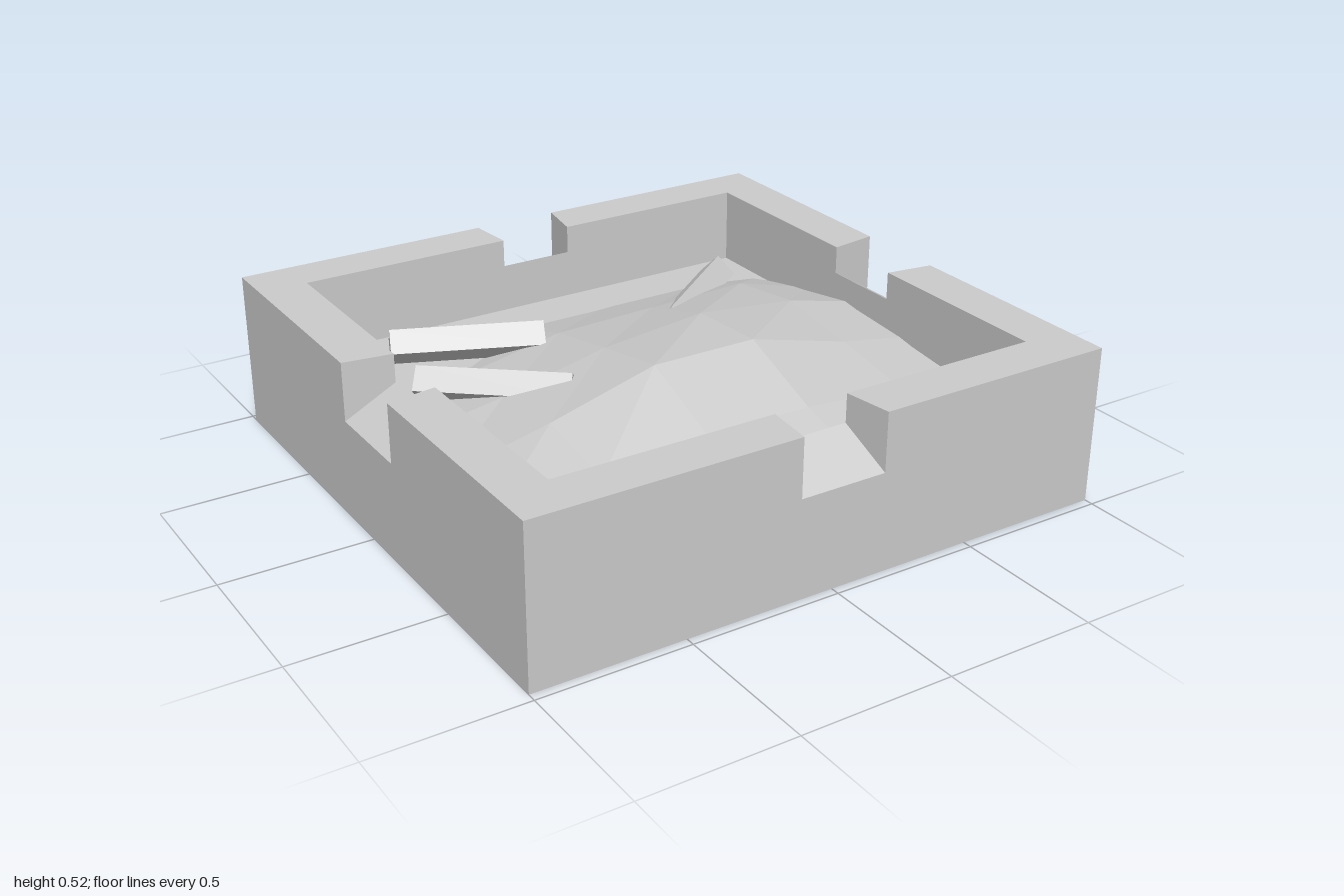
import * as THREE from 'three';

const material = new THREE.MeshStandardMaterial({ color: 0xcccccc, flatShading: true });

// Overall sizes
const OUT = { x: 1, z: 0.97 }, INN = { x: 0.837, z: 0.81 };
const TOP = 0.525, FLOOR = 0.265, SILL_OUT = 0.33, SILL_IN = 0.43;

function makeMesh(geometry, name) {
  const mesh = new THREE.Mesh(geometry, material);
  mesh.name = name;
  return mesh;
}

// Flat-faced geometry from a list of four-cornered faces (counter-clockwise)
function quadsGeometry(quads) {
  const points = quads.flatMap(([a, b, c, d]) => [a, b, c, a, c, d]);
  const geometry = new THREE.BufferGeometry().setFromPoints(points);
  geometry.computeVertexNormals();
  return geometry;
}

// One wall of the tray with its tapered, sloping notch.
// t runs along the wall, n points outward; notch spans are measured along t.
function wallQuads(t, n, [a, b], [ai, bi]) {
  const along = t.x !== 0;
  const lo = along ? OUT.x : OUT.z, li = along ? INN.x : INN.z;
  const no = along ? OUT.z : OUT.x, ni = along ? INN.z : INN.x;
  const point = (u, depth, y) =>
    new THREE.Vector3(0, y, 0).addScaledVector(t, u).addScaledVector(n, depth);
  const o = (u, y) => point(u, no, y);
  const i = (u, y) => point(u, ni, y);
  return [
    // outer face
    [o(-lo, 0), o(a, 0), o(a, TOP), o(-lo, TOP)],
    [o(a, 0), o(b, 0), o(b, SILL_OUT), o(a, SILL_OUT)],
    [o(b, 0), o(lo, 0), o(lo, TOP), o(b, TOP)],
    // inner face
    [i(-li, TOP), i(ai, TOP), i(ai, FLOOR), i(-li, FLOOR)],
    [i(ai, SILL_IN), i(bi, SILL_IN), i(bi, FLOOR), i(ai, FLOOR)],
    [i(bi, TOP), i(li, TOP), i(li, FLOOR), i(bi, FLOOR)],
    // rim
    [o(-lo, TOP), o(a, TOP), i(ai, TOP), i(-li, TOP)],
    [o(b, TOP), o(lo, TOP), i(li, TOP), i(bi, TOP)],
    // notch sill and cheeks
    [o(a, SILL_OUT), o(b, SILL_OUT), i(bi, SILL_IN), i(ai, SILL_IN)],
    [o(a, SILL_OUT), i(ai, SILL_IN), i(ai, TOP), o(a, TOP)],
    [o(b, TOP), i(bi, TOP), i(bi, SILL_IN), o(b, SILL_OUT)],
  ];
}

function makeTray() {
  const v = (x, y, z) => new THREE.Vector3(x, y, z);
  const plate = (s, y) => [v(-s.x, y, s.z), v(s.x, y, s.z), v(s.x, y, -s.z), v(-s.x, y, -s.z)];
  return makeMesh(quadsGeometry([
    ...wallQuads(v(1, 0, 0), v(0, 0, 1), [-0.12, 0.175], [-0.105, 0.15]),
    ...wallQuads(v(-1, 0, 0), v(0, 0, -1), [-0.175, 0.12], [-0.15, 0.105]),
    ...wallQuads(v(0, 0, -1), v(1, 0, 0), [-0.163, 0.163], [-0.14, 0.14]),
    ...wallQuads(v(0, 0, 1), v(-1, 0, 0), [-0.163, 0.163], [-0.14, 0.14]),
    plate(INN, FLOOR),
    plate(OUT, 0).reverse(),
  ]), 'tray');
}

// Low-poly heap of ash; its low edges sink below the floor and into the walls
function makeAsh() {
  const heights = [
    0.20, 0.23, 0.25, 0.25, 0.25, 0.22,
    0.20, 0.27, 0.34, 0.35, 0.36, 0.28,
    0.26, 0.32, 0.40, 0.437, 0.40, 0.33,
    0.27, 0.355, 0.455, 0.455, 0.36, 0.31,
    0.27, 0.30, 0.34, 0.34, 0.31, 0.28,
    0.24, 0.25, 0.26, 0.26, 0.24, 0.22,
  ];
  const geometry = new THREE.PlaneGeometry(1.84, 1.5, 5, 5).rotateX(-Math.PI / 2);
  geometry.translate(0.05, 0, 0.07);
  const position = geometry.attributes.position;
  heights.forEach((y, k) => {
    position.setY(k, y);
    // keep the border inside the thickness of the walls
    position.setX(k, THREE.MathUtils.clamp(position.getX(k), -0.87, 0.9));
  });
  geometry.computeVertexNormals();
  return makeMesh(geometry, 'ashHeap');
}

// Square stub lying on one edge; from and to are the ends of its top ridge
function makeStub(from, to, name) {
  const a = new THREE.Vector3(...from), b = new THREE.Vector3(...to);
  const side = 0.087;
  const geometry = new THREE.BoxGeometry(side, side, a.distanceTo(b)).rotateZ(Math.PI / 4);
  const stub = makeMesh(geometry, name);
  stub.position.copy(a).add(b).multiplyScalar(0.5);
  stub.position.y -= side * Math.SQRT1_2;
  stub.lookAt(b.x, b.y - side * Math.SQRT1_2, b.z);
  return stub;
}

export function createModel() {
  const model = new THREE.Group();
  model.name = 'ashtray';
  model.add(
    makeTray(),
    makeAsh(),
    makeStub([-0.655, 0.397, -0.585], [-0.18, 0.39, -0.40], 'stubBack'),
    makeStub([-0.685, 0.38, -0.32], [-0.305, 0.39, 0.015], 'stubSide'),
    makeStub([0.65, 0.385, -0.59], [0.25, 0.385, -0.28], 'stubCorner'),
  );
  return model;
}
